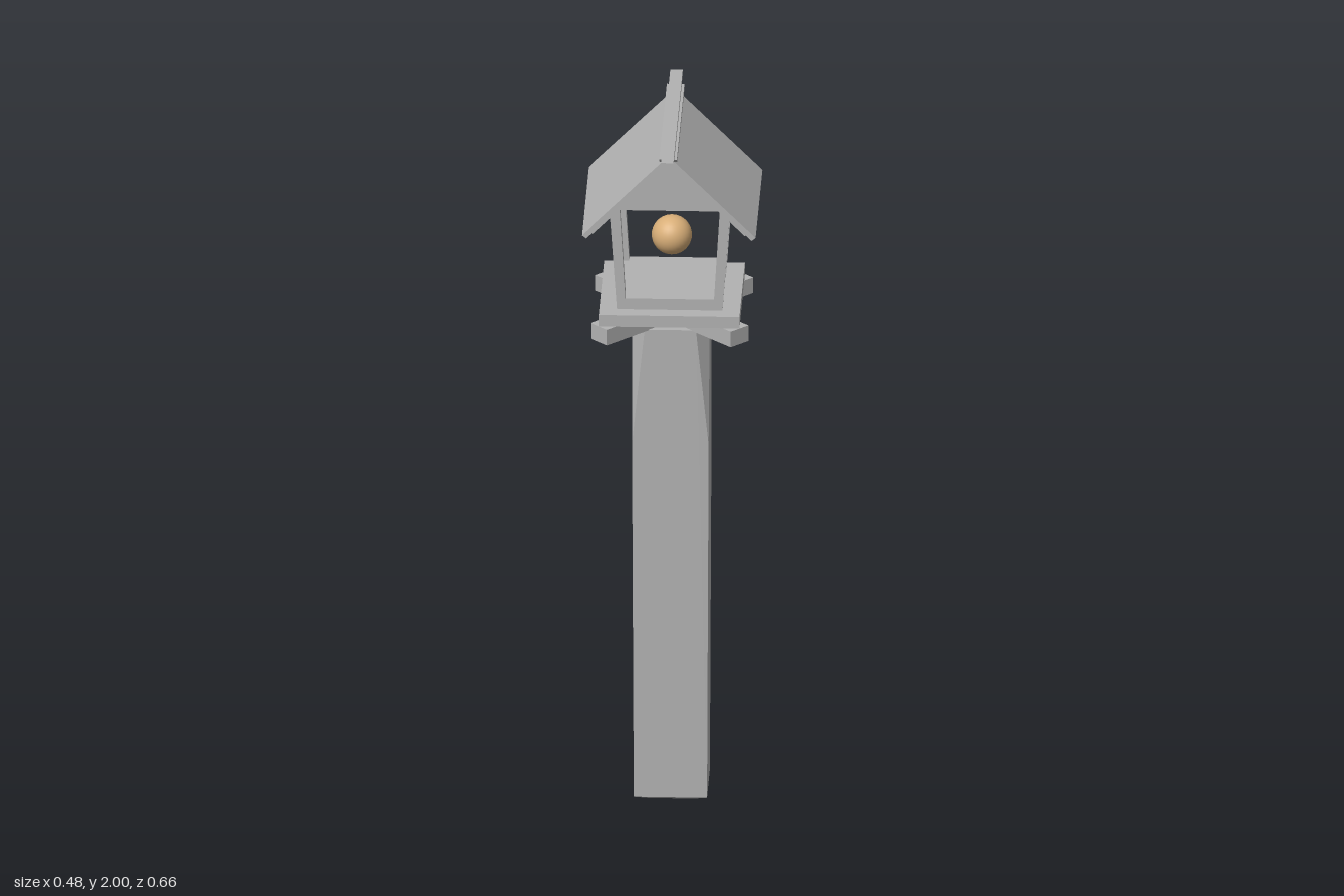
import * as THREE from 'three';
import { ConvexGeometry } from 'three/addons/geometries/ConvexGeometry.js';

export function createModel() {
  const model = new THREE.Group();
  const wood = new THREE.MeshStandardMaterial({ color: 0xb2b2b2 });
  wood.name = 'greyWood';
  const tan = new THREE.MeshStandardMaterial({ color: 0xd8ae78 });
  tan.name = 'tanGlow';

  const add = (name, geometry, material = wood) => {
    const mesh = new THREE.Mesh(geometry, material);
    mesh.name = name;
    model.add(mesh);
    return mesh;
  };
  const box = (name, w, y0, y1, d) =>
    add(name, new THREE.BoxGeometry(w, y1 - y0, d).translate(0, (y0 + y1) / 2, 0));
  // Outline in x, y pulled along z from z0 to z1
  const prism = (points, z0, z1) => {
    const shape = new THREE.Shape(points.map(([x, y]) => new THREE.Vector2(x, y)));
    return new THREE.ExtrudeGeometry(shape, { depth: z1 - z0, bevelEnabled: false }).translate(0, 0, z0);
  };

  // Pillar: square post with a bevelled foot and tapering corner cuts at the top
  const corners = [];
  for (const sx of [-1, 1]) for (const sz of [-1, 1]) {
    for (const [x, y, z] of [[0.06, 0, 0.06], [0.1, 0.02, 0.1], [0.1045, 1.07, 0.1045],
      [0.07, 1.41, 0.106], [0.106, 1.41, 0.07]]) {
      corners.push(new THREE.Vector3(sx * x, y, sz * z));
    }
  }
  add('pillar', new ConvexGeometry(corners));

  // Crossed diagonal beams carrying the platform
  for (const s of [-1, 1]) {
    const beam = box('diagonalBeam', 0.544, 1.408, 1.454, 0.066);
    beam.rotation.y = s * Math.PI / 4;
  }
  box('platform', 0.384, 1.454, 1.488, 0.384);
  box('houseFloor', 0.285, 1.488, 1.52, 0.296);

  // Four corner posts leaning outward to the sides
  for (const s of [-1, 1]) for (const z of [-0.148, 0.118]) {
    const side = [[0.119, 1.488], [0.144, 1.488], [0.165, 1.79], [0.137, 1.79]];
    add('cornerPost', prism(side.map(([x, y]) => [s * x, y]), z, z + 0.03));
  }

  // Solid gable block under the roof
  add('gable', prism([[-0.165, 1.782], [0.165, 1.782], [0, 1.95]], -0.148, 0.148));

  // Roof slopes, each with a smaller lining underneath
  for (const s of [-1, 1]) {
    const slope = [[0, 1.982], [0, 1.962], [0.227, 1.735], [0.238, 1.744]];
    const lining = [[0, 1.962], [0, 1.948], [0.208, 1.74], [0.215, 1.747]];
    add('roofSlope', prism(slope.map(([x, y]) => [s * x, y]), -0.24, 0.24));
    add('roofLining', prism(lining.map(([x, y]) => [s * x, y]), -0.22, 0.22));
  }

  // Two ridge beams with undercut ends
  const ridge = (name, w, y0, y1, bottom, top) => add(name,
    prism([[-bottom, y0], [bottom, y0], [top, y1], [-top, y1]], -w / 2, w / 2).rotateY(Math.PI / 2));
  ridge('lowerRidge', 0.048, 1.966, 1.984, 0.24, 0.267);
  ridge('upperRidge', 0.034, 1.984, 2, 0.27, 0.33);

  // Glowing ball floating inside the house
  add('ball', new THREE.SphereGeometry(0.055, 32, 20).translate(0, 1.65, 0), tan);

  return model;
}
